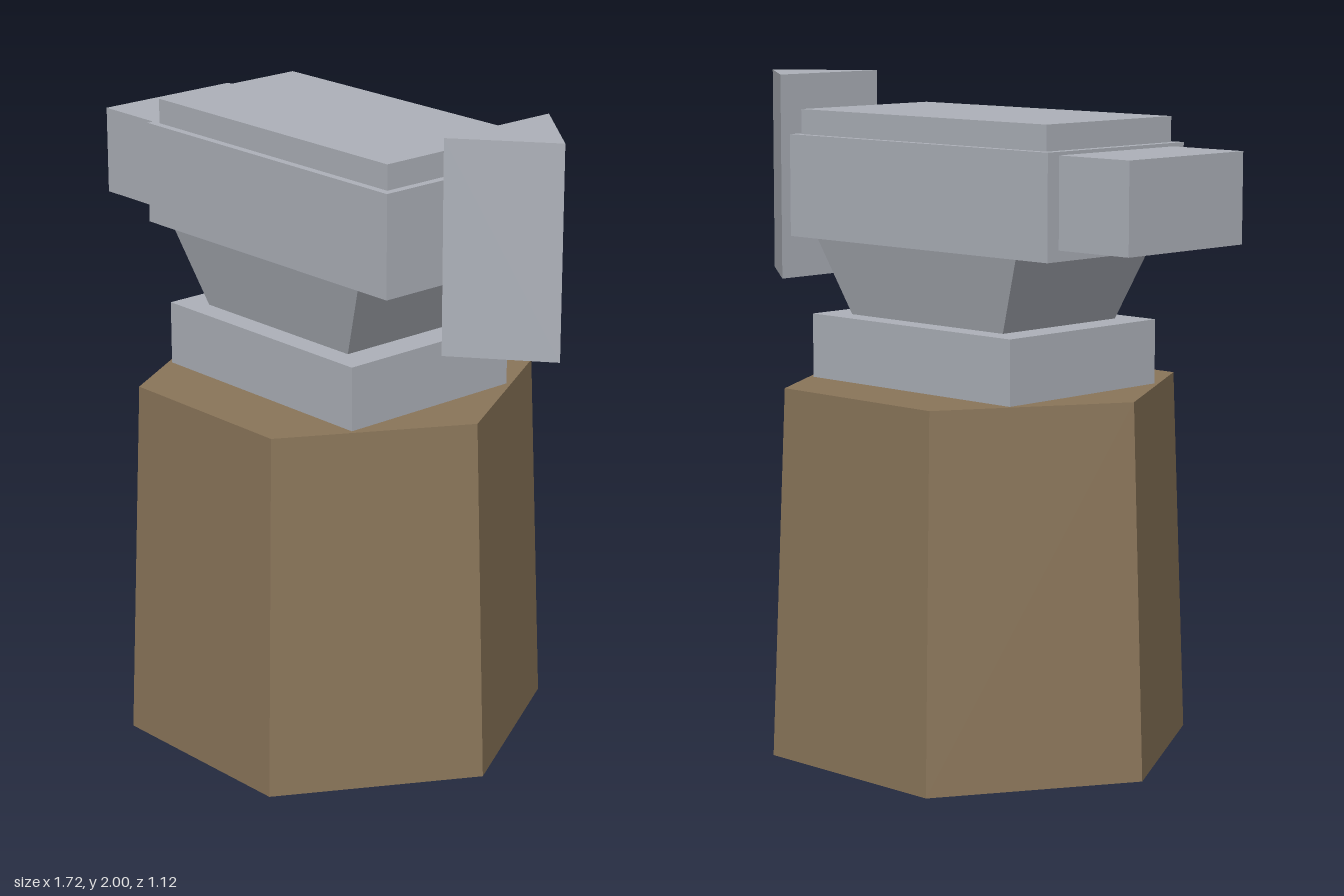
import * as THREE from 'three';

export function createModel() {
  const group = new THREE.Group();
  group.name = 'anvilOnStump';

  const wood = new THREE.MeshStandardMaterial({ color: 0x8b765a, flatShading: true });
  wood.name = 'wood';
  const metal = new THREE.MeshStandardMaterial({ color: 0xaeb2ba, flatShading: true });
  metal.name = 'metal';

  const add = (name, geometry, material, x, y, z = 0) => {
    const mesh = new THREE.Mesh(geometry, material);
    mesh.name = name;
    mesh.position.set(x, y, z);
    group.add(mesh);
    return mesh;
  };

  // Box given by its x and y ranges and its half depth
  const block = (name, x0, x1, y0, y1, halfDepth) =>
    add(name, new THREE.BoxGeometry(x1 - x0, y1 - y0, halfDepth * 2), metal,
      (x0 + x1) / 2, (y0 + y1) / 2);

  // Six-sided tapered stump, corners pointing left and right
  const stump = new THREE.CylinderGeometry(0.603, 0.648, 1.108, 6, 1, false, Math.PI / 2);
  add('stump', stump, wood, -0.068, 0.554);

  // Anvil blocks
  block('foot', -0.478, 0.34, 1.108, 1.3, 0.31);
  block('body', -0.6, 0.46, 1.523, 1.83, 0.288);
  block('facePlate', -0.572, 0.435, 1.83, 1.905, 0.264);
  block('heel', -0.86, -0.6, 1.555, 1.82, 0.242);

  // Waist: a block narrowed towards the foot
  const waist = block('waist', -0.478, 0.34, 1.3, 1.523, 0.288).geometry;
  const p = waist.attributes.position;
  for (let i = 0; i < p.count; i++) {
    if (p.getY(i) < 0) {
      p.setX(i, p.getX(i) * 0.765);
      p.setZ(i, p.getZ(i) * 0.83);
    }
  }
  waist.computeVertexNormals();

  // Horn: an upright triangular prism standing clear of the body
  const triangle = new THREE.Shape([
    new THREE.Vector2(0, -0.203),
    new THREE.Vector2(0.262, 0),
    new THREE.Vector2(0, 0.203),
  ]);
  const horn = new THREE.ExtrudeGeometry(triangle, { depth: 0.625, bevelEnabled: false });
  horn.rotateX(-Math.PI / 2);
  add('horn', horn, metal, 0.595, 1.375);

  return group;
}
